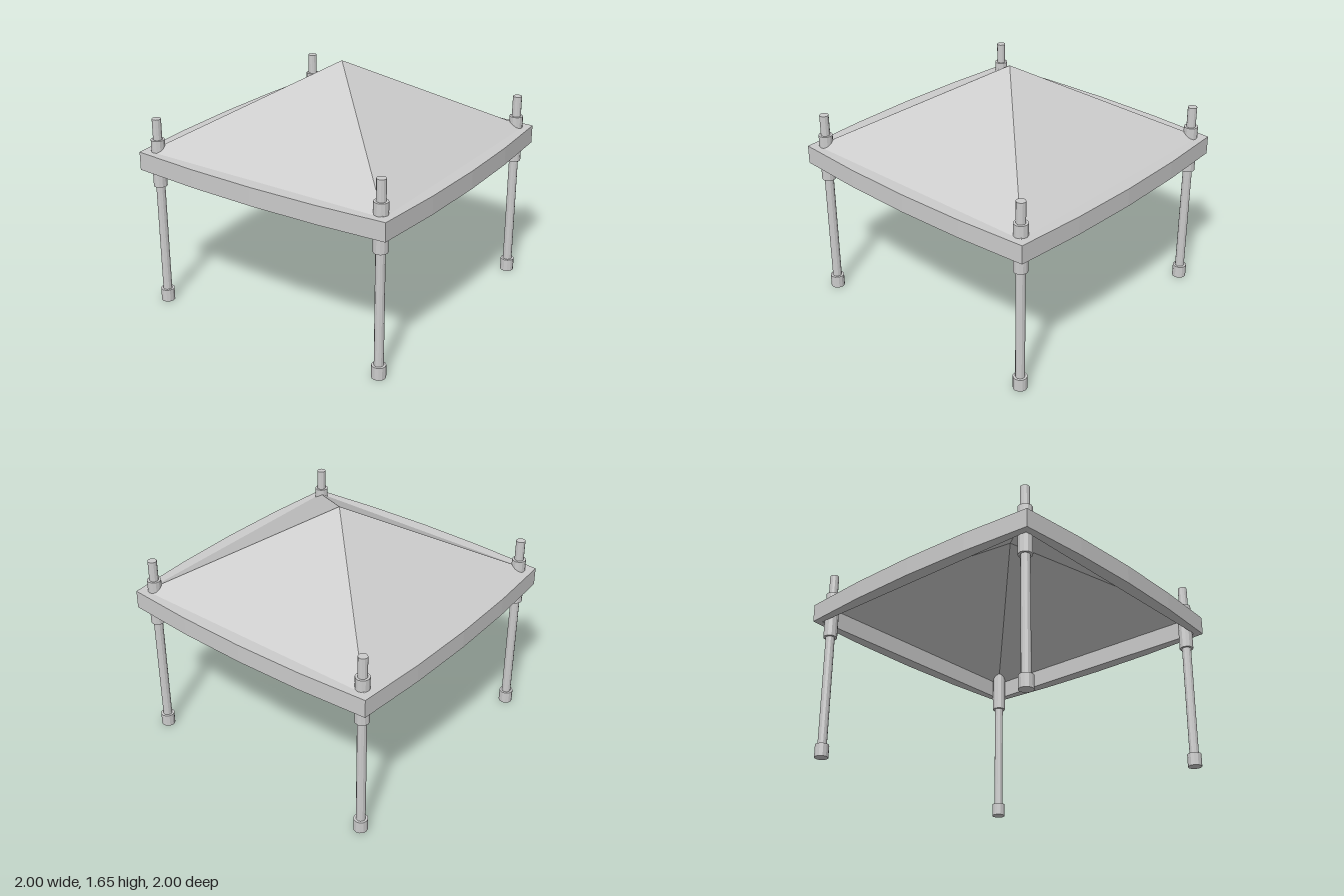
import * as THREE from 'three';

const CORNER = 0.955, BULGE = 0.045, INNER = 0.91;
const BAND_LOW = 0.98, BAND_HIGH = 1.105, APEX = 1.655;
const POST = 0.868;

export function createModel() {
  const group = new THREE.Group();
  const material = new THREE.MeshStandardMaterial({ color: 0xcccccc, flatShading: true, side: THREE.DoubleSide });

  const add = (name, geometry, parent = group) => {
    const mesh = new THREE.Mesh(geometry, material);
    mesh.name = name;
    parent.add(mesh);
    return mesh;
  };

  // Square band with gently bowed sides and an open square middle
  const outline = [];
  const steps = 4;
  for (let side = 0; side < 4; side++) {
    for (let i = 0; i < steps; i++) {
      const t = -1 + (2 * i) / steps;
      const p = new THREE.Vector2(t * CORNER, -(CORNER + BULGE * (1 - t * t)));
      outline.push(p.rotateAround(new THREE.Vector2(), side * Math.PI / 2));
    }
  }
  const bandShape = new THREE.Shape(outline);
  bandShape.holes.push(new THREE.Path([
    new THREE.Vector2(-INNER, -INNER), new THREE.Vector2(-INNER, INNER),
    new THREE.Vector2(INNER, INNER), new THREE.Vector2(INNER, -INNER),
  ]));
  const band = new THREE.ExtrudeGeometry(bandShape, { depth: BAND_HIGH - BAND_LOW, bevelEnabled: false });
  band.rotateX(-Math.PI / 2).translate(0, BAND_LOW, 0);
  add('roofBand', band);

  // Four-sided canopy, open underneath
  const height = APEX - BAND_HIGH;
  const canopy = new THREE.ConeGeometry(INNER * Math.SQRT2, height, 4, 1, true);
  canopy.rotateY(Math.PI / 4).translate(0, BAND_HIGH + height / 2, 0);
  add('canopy', canopy);

  // Corner posts: pole, foot and the collar that grips the band
  const tube = (radius, low, high) =>
    new THREE.CylinderGeometry(radius, radius, high - low, 12).translate(0, (low + high) / 2, 0);
  for (const x of [-1, 1]) {
    for (const z of [-1, 1]) {
      const post = new THREE.Group();
      post.name = `${z > 0 ? 'front' : 'back'}${x > 0 ? 'Left' : 'Right'}Post`;
      post.position.set(x * POST, 0, z * POST);
      add('pole', tube(0.031, 0.01, 1.33), post);
      add('foot', tube(0.047, 0, 0.087), post);
      add('collar', tube(0.047, 0.86, 1.187), post);
      group.add(post);
    }
  }
  return group;
}
